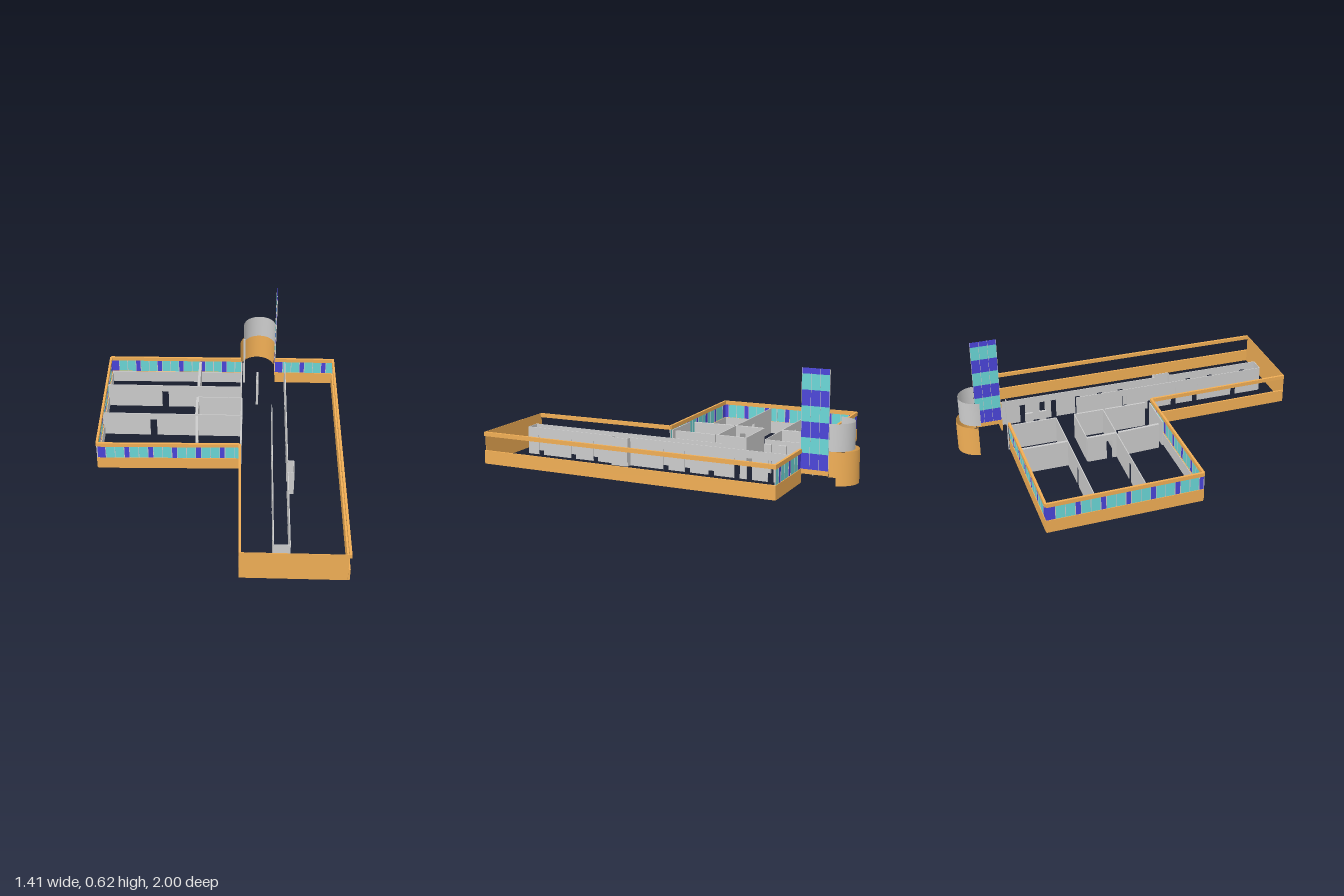
import * as THREE from 'three';

const mat = (color) => new THREE.MeshStandardMaterial({ color, side: THREE.DoubleSide, flatShading: false });
const ORANGE = mat(0xf0ae55), GREY = mat(0xcccccc), CYAN = mat(0x6ad6d6), BLUE = mat(0x4a44d8);
const BASE = 0.01, SILL = 0.085, HEAD = 0.167, TOP = 0.19;

export function createModel() {
  const model = new THREE.Group();

  // Upright slab between two plan points [x, z]
  function slab(name, a, b, y0, y1, t, material, parent = model) {
    const dx = b[0] - a[0], dz = b[1] - a[1];
    const m = new THREE.Mesh(new THREE.BoxGeometry(Math.hypot(dx, dz), y1 - y0, t), material);
    m.position.set((a[0] + b[0]) / 2, (y0 + y1) / 2, (a[1] + b[1]) / 2);
    m.rotation.y = -Math.atan2(dz, dx);
    m.name = name;
    parent.add(m);
    return m;
  }
  const along = (a, b, d) => {
    const l = Math.hypot(b[0] - a[0], b[1] - a[1]);
    return [a[0] + (b[0] - a[0]) * d / l, a[1] + (b[1] - a[1]) * d / l];
  };

  // Outer wall: low band and roof band with a window gap between
  function bands(name, a, b) {
    slab(name + 'SillBand', a, b, BASE, SILL, 0.01, ORANGE);
    slab(name + 'RoofBand', a, b, HEAD, TOP, 0.013, ORANGE);
  }

  // Window strip: one narrow blue pane and two cyan panes per bay
  function glazing(name, a, b) {
    const g = new THREE.Group();
    g.name = name + 'Windows';
    const len = Math.hypot(b[0] - a[0], b[1] - a[1]);
    const widths = [0.027, 0.049, 0.049], gap = 0.0037;
    for (let d = 0.02, i = 0; d < len - 0.015; i++) {
      const w = Math.min(widths[i % 3], len - d);
      slab('pane', along(a, b, d), along(a, b, d + w), SILL, HEAD, 0.003, i % 3 ? CYAN : BLUE, g);
      slab('mullion', along(a, b, d + w), along(a, b, d + w + gap), SILL, HEAD, 0.006, GREY, g);
      d += w + gap;
    }
    slab('cornerPane', a, along(a, b, 0.02), SILL, HEAD, 0.003, BLUE, g);
    model.add(g);
  }

  // Interior wall with doorways, each given as [centre distance, width]
  function partition(name, a, b, t, doors = []) {
    const g = new THREE.Group();
    g.name = name;
    const len = Math.hypot(b[0] - a[0], b[1] - a[1]);
    let d = 0;
    for (const [c, w] of doors) {
      slab('panel', along(a, b, d), along(a, b, c - w / 2), BASE, HEAD, t, GREY, g);
      slab('lintel', along(a, b, c - w / 2), along(a, b, c + w / 2), 0.125, HEAD, t, GREY, g);
      d = c + w / 2;
    }
    slab('panel', along(a, b, d), b, BASE, HEAD, t, GREY, g);
    model.add(g);
  }

  // Square block: glazed outer walls with a grey inner lining
  const NW = [-0.7, -0.705], SW = [-0.687, 0.155], SE = [0.125, 0.138], NE = [0.12, -0.715];
  const sides = [['blockFront', SW, SE, 0, -0.008], ['blockLeft', NW, SW, 0.008, 0], ['blockBack', NW, NE, 0, 0.008]];
  for (const [name, a, b, ox, oz] of sides) {
    bands(name, a, b);
    glazing(name, a, b);
    slab(name + 'Lining', [a[0] + ox, a[1] + oz], [b[0] + ox, b[1] + oz], BASE, SILL, 0.003, GREY);
  }

  // Long wing: open window gaps at both sides, solid front end
  bands('wingLeft', SE, [0.14, 1]);
  bands('wingRight', [0.698, -0.72], [0.698, 1]);
  bands('wingBack', [0.335, -0.72], [0.704, -0.72]);
  glazing('wingBack', [0.335, -0.72], [0.698, -0.72]);
  slab('wingFrontWall', [0.137, 0.9985], [0.692, 0.9985], BASE, TOP, 0.003, ORANGE);

  // North-south room walls of the block
  partition('roomWallBack', [-0.135, -0.7], [-0.135, -0.44], 0.016);
  partition('roomWallMiddle', [-0.135, -0.33], [-0.135, -0.155], 0.016, [[0.13, 0.035]]);
  partition('roomWallFront', [-0.133, -0.145], [-0.12, 0.1], 0.016);
  partition('lobbyWallBack', [0.125, -0.7], [0.125, -0.44], 0.008);
  partition('lobbyWallMiddle', [0.131, -0.33], [0.131, -0.155], 0.01);
  partition('lobbyWallFront', [0.131, -0.145], [0.131, 0.1], 0.01);
  slab('frontReturn', [-0.11, 0.128], [0.122, 0.126], BASE, HEAD, 0.006, GREY);

  // East-west room walls
  partition('crossWallBack', [-0.69, -0.44], [0.125, -0.44], 0.005, [[0.35, 0.04]]);
  partition('crossWallMiddle', [-0.135, -0.33], [0.131, -0.33], 0.005);
  partition('crossWallFront', [-0.69, -0.157], [0.131, -0.157], 0.005, [[0.3, 0.04]]);

  // Lobby piers
  slab('lobbyPier', [0.224, -0.6], [0.224, -0.555], BASE, HEAD, 0.014, GREY);
  slab('lobbyPier', [0.224, -0.515], [0.224, -0.475], BASE, HEAD, 0.014, GREY);

  // Wing corridor
  const doorsAt = (z0, list) => list.map((z) => [z - z0, 0.032]);
  partition('corridorWallLeft', [0.311, -0.27], [0.311, 0.915], 0.004,
    doorsAt(-0.27, [0.03, 0.195, 0.345, 0.485, 0.74]));
  partition('corridorWallRightBack', [0.396, -0.715], [0.396, 0.25], 0.005,
    doorsAt(-0.715, [-0.58, -0.46, -0.39, -0.24, -0.1, 0.03]));
  partition('corridorWallRightFront', [0.396, 0.35], [0.396, 0.915], 0.005,
    doorsAt(0.35, [0.47, 0.615, 0.83]));
  partition('corridorEnd', [0.311, 0.915], [0.396, 0.915], 0.004);

  // Niche projecting from the corridor
  slab('nicheFace', [0.43, 0.25], [0.43, 0.35], BASE, HEAD, 0.004, GREY);
  for (const z of [0.25, 0.35]) slab('nicheSide', [0.396, z], [0.43, z], BASE, HEAD, 0.004, GREY);

  // Rounded stair tower: orange foot with a side doorway, grey top
  function arc(name, x, z, rx, rz, start, sweep, y0, y1, material) {
    const geo = new THREE.CylinderGeometry(1, 1, y1 - y0, 32, 1, true, start, sweep);
    geo.scale(rx, 1, rz);
    const m = new THREE.Mesh(geo, material);
    m.position.set(x, (y0 + y1) / 2, z);
    m.name = name;
    model.add(m);
  }
  const H = Math.PI / 2, DOOR = 0.3;
  arc('stairTowerDoorHead', 0.225, -0.872, 0.112, 0.127, H, DOOR, 0.055, TOP, ORANGE);
  arc('stairTowerFoot', 0.225, -0.872, 0.112, 0.127, H + DOOR, Math.PI - DOOR - 0.15, BASE, TOP, ORANGE);
  arc('stairTowerTop', 0.235, -0.872, 0.1, 0.105, H, Math.PI, TOP, 0.335, GREY);
  slab('stairPost', [0.134, -0.722], [0.146, -0.722], 0, 0.33, 0.006, GREY);

  // Tall glazed screen beside the stair: rows alternate blue and cyan
  const screen = new THREE.Group();
  screen.name = 'stairScreen';
  const rows = [0.085, 0.17, 0.253, 0.336, 0.419, 0.502, 0.585, 0.615];
  for (let r = 0; r < rows.length - 1; r++)
    for (let c = 0; c < 3; c++) {
      const z = -0.72 - c * 0.05;
      slab('screenPane', [0.335, z - 0.001], [0.335, z - 0.049], rows[r], rows[r + 1], 0.003, r % 2 ? CYAN : BLUE, screen);
    }
  for (let c = 0; c < 4; c++) {
    const z = -0.72 - c * 0.05;
    slab('screenMullion', [0.335, z + 0.001], [0.335, z - 0.001], SILL, 0.615, 0.004, GREY, screen);
  }
  slab('screenSill', [0.335, -0.72], [0.335, -0.87], 0.06, SILL, 0.006, ORANGE, screen);
  model.add(screen);

  return model;
}
